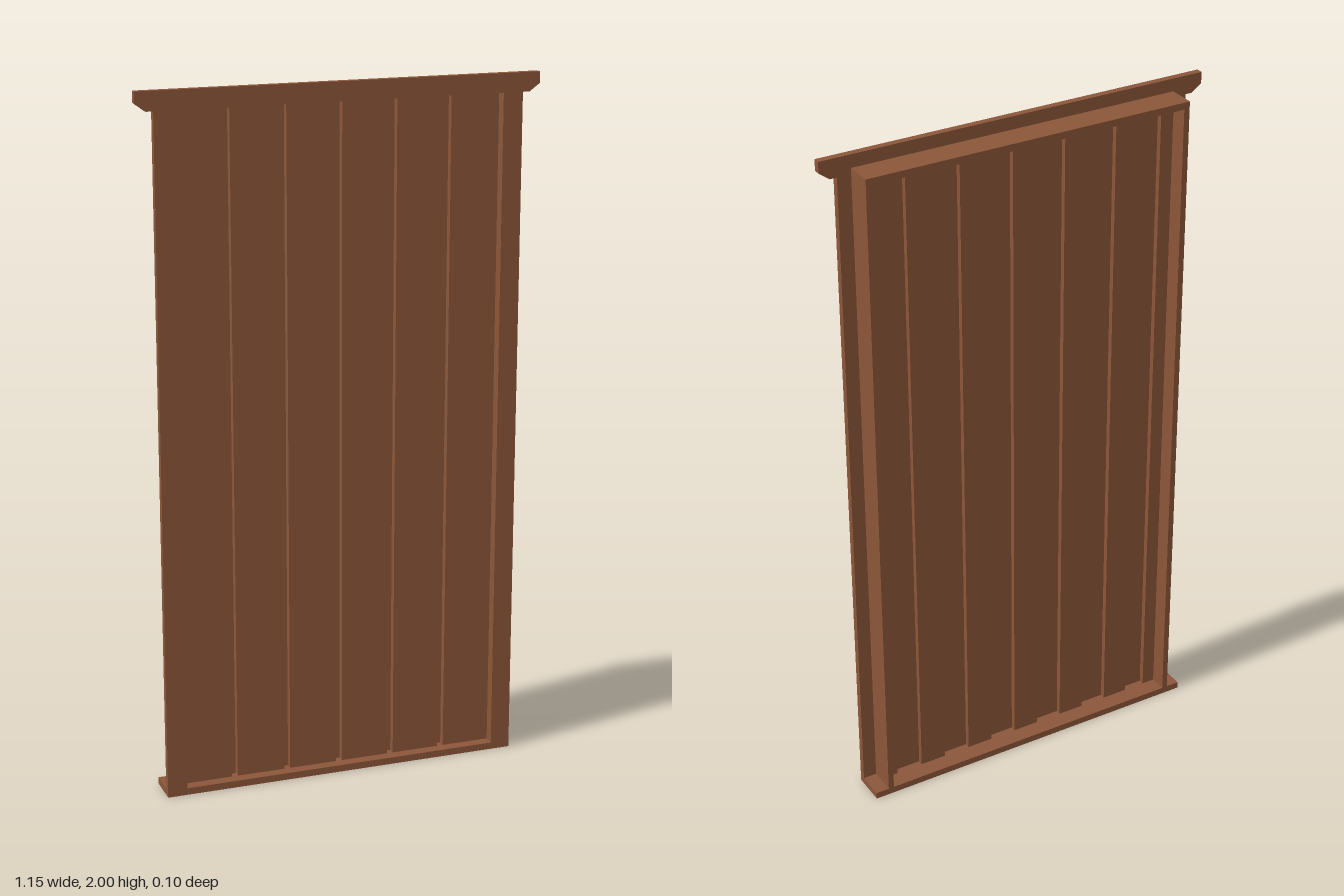
import * as THREE from 'three';

export function createModel() {
  const model = new THREE.Group();
  model.name = 'plankDoor';
  const wood = new THREE.MeshStandardMaterial({ color: 0x8c563a });
  wood.name = 'brown wood';

  // Box given by its low and high limits on each axis
  function board(name, x0, x1, y0, y1, z0, z1, parent = model) {
    const mesh = new THREE.Mesh(new THREE.BoxGeometry(x1 - x0, y1 - y0, z1 - z0), wood);
    mesh.position.set((x0 + x1) / 2, (y0 + y1) / 2, (z0 + z1) / 2);
    mesh.name = name;
    parent.add(mesh);
  }

  // Frame: sill, head, and mirrored jambs and casings
  board('sill', -0.525, 0.525, 0, 0.02, -0.05, 0.05);
  board('headJamb', -0.485, 0.485, 1.943, 1.963, -0.05, 0.03);
  for (const [side, s] of [['left', 1], ['right', -1]]) {
    const span = (a, b) => [Math.min(s * a, s * b), Math.max(s * a, s * b)];
    board(side + 'Jamb', ...span(0.468, 0.485), 0.02, 1.943, -0.05, 0.03);
    board(side + 'Casing', ...span(0.468, 0.525), 0.02, 1.946, 0.03, 0.05);
  }

  // Header board with clipped lower corners
  const outline = new THREE.Shape([
    [-0.575, 2], [-0.575, 1.968], [-0.545, 1.946],
    [0.545, 1.946], [0.575, 1.968], [0.575, 2],
  ].map(([x, y]) => new THREE.Vector2(x, y)));
  const header = new THREE.Mesh(
    new THREE.ExtrudeGeometry(outline, { depth: 0.02, bevelEnabled: false }), wood);
  header.position.z = 0.03;
  header.name = 'header';
  model.add(header);

  // Door leaf: six spaced planks, with battens behind every gap and both edges
  const door = new THREE.Group();
  door.name = 'door';
  model.add(door);
  const edge = 0.463, bottom = 0.026, top = 1.943;
  const pitch = 0.1585, gap = 0.018, half = 0.039;
  for (let i = 0; i <= 6; i++) {
    const seam = (i - 3) * pitch - 0.004;
    if (i < 6) {
      const x0 = i === 0 ? -edge : seam + gap / 2;
      const x1 = i === 5 ? edge : seam + pitch - gap / 2;
      board('plank', x0, x1, bottom, top, 0.01, 0.03, door);
    }
    const b0 = i === 0 ? -edge : seam - half;
    const b1 = i === 6 ? edge : i === 0 ? -edge + half : seam + half;
    board('batten', b0, b1, bottom, top, -0.006, 0.01, door);
  }
  return model;
}
